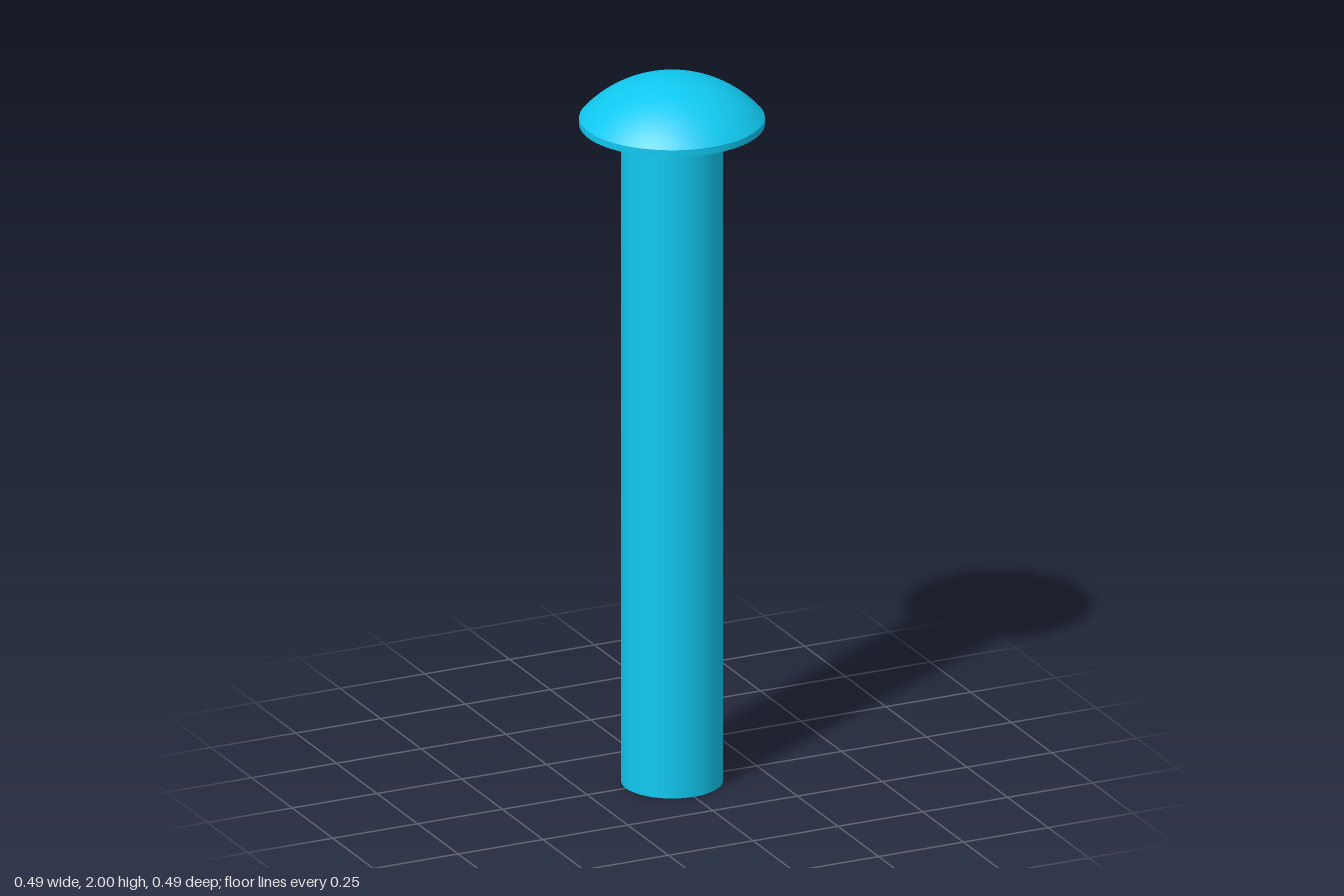
import * as THREE from 'three';

const SHANK_R = 0.136, HEAD_R = 0.247;
const HEAD_Y = 1.868, RIM_Y = 1.887, TOP_Y = 2;
const FILLET = 0.022;

export function createModel() {
  const rivet = new THREE.Group();
  rivet.name = 'roundHeadPin';
  const material = new THREE.MeshStandardMaterial({ color: 0x10c8f0 });

  // Each turned surface is its own profile, so the edges between them stay sharp
  const turn = (name, points) => {
    const profile = points.map(([r, y]) => new THREE.Vector2(r, y));
    const mesh = new THREE.Mesh(new THREE.LatheGeometry(profile, 96), material);
    mesh.name = name;
    rivet.add(mesh);
  };
  // Points on an arc around (cx, cy)
  const arc = (cx, cy, r, from, to, steps) =>
    Array.from({ length: steps + 1 }, (_, i) => {
      const a = from + (to - from) * i / steps;
      return [Math.max(0, cx + r * Math.cos(a)), cy + r * Math.sin(a)];
    });

  // Shank with its flat end
  turn('shankEnd', [[0, 0], [SHANK_R, 0]]);
  turn('shank', [[SHANK_R, 0], [SHANK_R, HEAD_Y - FILLET]]);

  // Fillet running out into the flat underside of the head
  turn('fillet', arc(SHANK_R + FILLET, HEAD_Y - FILLET, FILLET, Math.PI, Math.PI / 2, 8));
  turn('headUnderside', [[SHANK_R + FILLET, HEAD_Y], [HEAD_R, HEAD_Y]]);

  // Thin straight rim and spherical dome
  turn('headRim', [[HEAD_R, HEAD_Y], [HEAD_R, RIM_Y]]);
  const rise = TOP_Y - RIM_Y;
  const domeR = (HEAD_R ** 2 + rise ** 2) / (2 * rise);
  turn('headDome', arc(0, TOP_Y - domeR, domeR, Math.acos(HEAD_R / domeR), Math.PI / 2, 24));

  return rivet;
}
